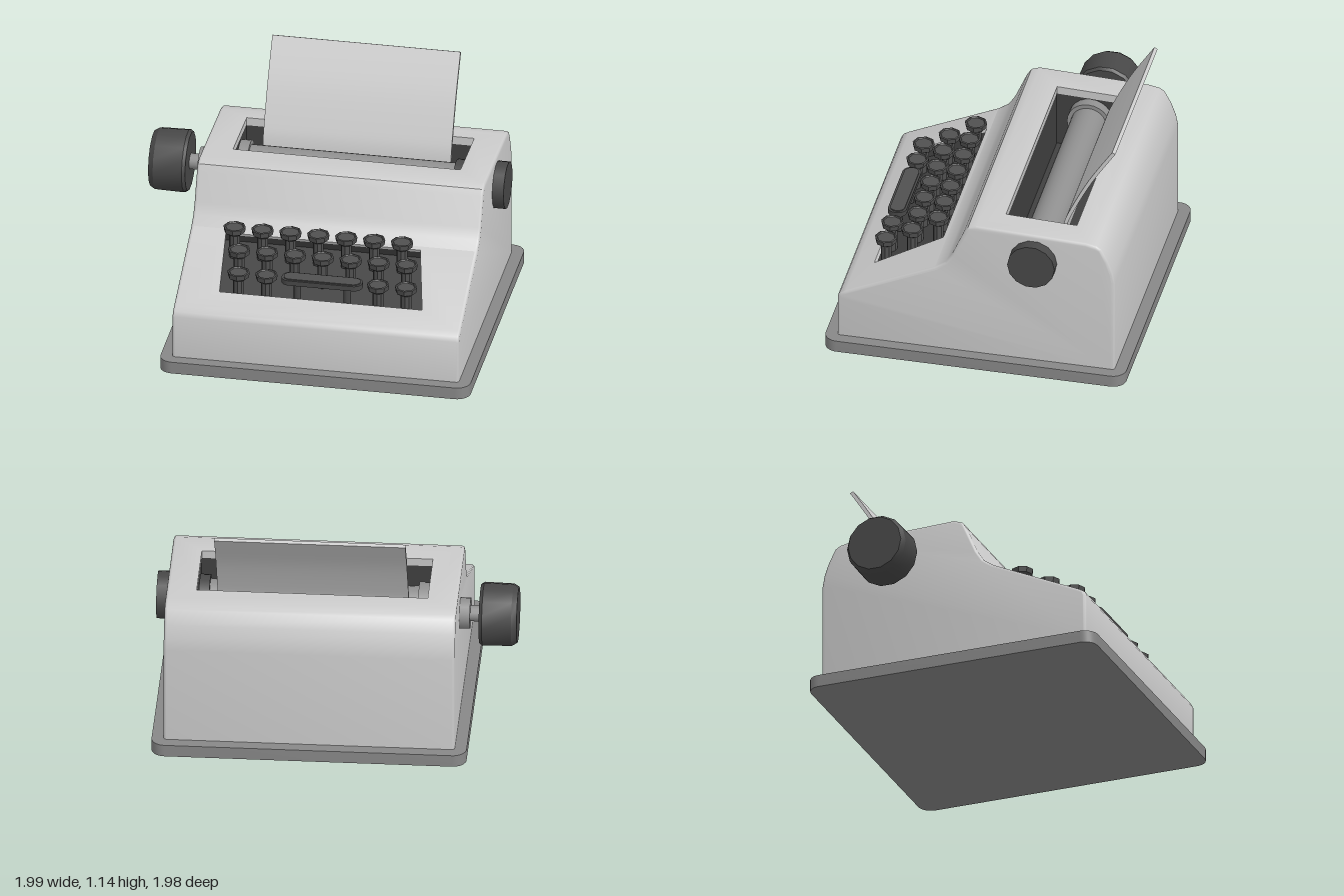
import * as THREE from 'three';
import { mergeGeometries, toCreasedNormals } from 'three/addons/utils/BufferGeometryUtils.js';

const mat = (color, side = THREE.FrontSide) => new THREE.MeshStandardMaterial({ color, side });
const bodyMat = mat(0xcccccc, THREE.DoubleSide), baseMat = mat(0x888888), platenMat = mat(0x909090);
const darkMat = mat(0x484848), keyMat = mat(0x505050, THREE.DoubleSide);
const paperMat = mat(0xe0e0e0), tubMat = mat(0x404040, THREE.DoubleSide);

// Side profile of the casing as [z, y], from the front foot over the top to the back foot
const PROFILE = [
  [0.675, 0.06], [0.675, 0.275], [0.663, 0.298], [0.635, 0.315],
  [0.2, 0.515], [0.15, 0.55], [0.118, 0.6], [0.06, 0.735], [0.04, 0.765], [0, 0.78],
  [-0.535, 0.76], [-0.585, 0.75], [-0.608, 0.735], [-0.642, 0.67], [-0.665, 0.605], [-0.675, 0.55], [-0.675, 0.06],
];
const SLOPE = 3, TOP = 9; // segments that carry openings
const HALF = 0.693, BEVEL = 0.014, IN = HALF - BEVEL;

const slopeY = (z) => 0.315 + (0.635 - z) * (0.2 / 0.435);
const polygon = (pts) => new THREE.Shape(pts.map(([x, y]) => new THREE.Vector2(x, y)));
const plain = (g) => {
  const out = g.index ? g.toNonIndexed() : g;
  out.deleteAttribute('uv');
  return out;
};

function add(parent, name, geometry, material, x = 0, y = 0, z = 0) {
  const mesh = new THREE.Mesh(geometry, material);
  mesh.name = name;
  mesh.position.set(x, y, z);
  parent.add(mesh);
  return mesh;
}

// Turned part, along y, with sharp edges kept
function turned(points, sides, crease) {
  const g = new THREE.LatheGeometry(points.map(([r, y]) => new THREE.Vector2(r, y)), sides);
  return toCreasedNormals(plain(g), crease);
}

// Cylinder along x
function rod(radius, length, sides) {
  return new THREE.CylinderGeometry(radius, radius, length, sides).rotateZ(Math.PI / 2);
}

// Open-topped box, inner size given, rim at y = 0
function tub(w, h, d) {
  const t = 0.02;
  const box = (sx, sy, sz, x, y, z) => new THREE.BoxGeometry(sx, sy, sz).translate(x, y, z);
  const parts = [box(w + 2 * t, t, d + 2 * t, 0, -h - t / 2, 0)];
  for (const s of [-1, 1]) {
    parts.push(box(t, h, d + 2 * t, s * (w + t) / 2, -h / 2, 0), box(w, h, t, 0, -h / 2, s * (d + t) / 2));
  }
  return mergeGeometries(parts);
}

// Profile moved inward for the rounded side edges
function insetProfile(amount) {
  return PROFILE.map(([z, y], i) => {
    if (i === 0) return [z - amount, y];
    if (i === PROFILE.length - 1) return [z + amount, y];
    const a = PROFILE[i - 1], b = PROFILE[i + 1];
    const n1 = new THREE.Vector2(y - a[1], a[0] - z).normalize();
    const n = n1.add(new THREE.Vector2(b[1] - y, z - b[0]).normalize()).normalize();
    return [z - n.x * amount, y - n.y * amount];
  });
}

// Flat panel on one profile segment; the hole is given as [x, z]
function panel(segment, hole, depth) {
  const [a, b] = [PROFILE[segment], PROFILE[segment + 1]];
  const t = new THREE.Vector3(0, b[1] - a[1], b[0] - a[0]);
  const length = t.length();
  t.normalize();
  const shape = polygon([[-IN, 0], [IN, 0], [IN, length], [-IN, length]]);
  shape.holes.push(polygon(hole.map(([x, z]) => [x, (z - a[0]) / t.z])));
  const g = new THREE.ExtrudeGeometry(shape, { depth, bevelEnabled: false }).translate(0, 0, -depth);
  const m = new THREE.Matrix4().makeBasis(new THREE.Vector3(1, 0, 0), t, new THREE.Vector3(0, -t.z, t.y));
  return plain(g.applyMatrix4(m.setPosition(0, a[1], a[0])));
}

function casing(wellHole, slotHole) {
  // Rounded stations across the width, mirrored
  const side = [0, 1, 2, 3].map((k) => {
    const a = (k / 3) * Math.PI / 2;
    return [IN + BEVEL * Math.cos(a), BEVEL * (1 - Math.sin(a))];
  });
  const stations = [...side.map(([x, d]) => [-x, d]), ...[...side].reverse()];
  const rings = stations.map(([x, d]) => insetProfile(d).map(([z, y]) => [x, y, z]));
  const pos = [];
  for (let j = 0; j < rings.length - 1; j++) {
    for (let i = 0; i < PROFILE.length - 1; i++) {
      if (j === 3 && (i === SLOPE || i === TOP)) continue;
      const a = rings[j][i], b = rings[j + 1][i], c = rings[j + 1][i + 1], d = rings[j][i + 1];
      pos.push(...a, ...b, ...c, ...a, ...c, ...d);
    }
  }
  const skin = new THREE.BufferGeometry();
  skin.setAttribute('position', new THREE.Float32BufferAttribute(pos, 3));
  skin.computeVertexNormals();
  // Flat cheeks
  const cheeks = [1, -1].map((s) => plain(
    new THREE.ShapeGeometry(polygon(insetProfile(BEVEL).map(([z, y]) => [-s * z, y])))
      .rotateY(s * Math.PI / 2).translate(s * HALF, 0, 0)));
  const parts = [skin, ...cheeks, panel(SLOPE, wellHole, 0.02), panel(TOP, slotHole, 0.04)];
  return toCreasedNormals(mergeGeometries(parts), 0.6);
}

function roundedSlab(w, d, r, h) {
  const x = w / 2 - r, y = d / 2 - r, s = new THREE.Shape();
  s.absarc(x, y, r, 0, Math.PI / 2);
  s.absarc(-x, y, r, Math.PI / 2, Math.PI);
  s.absarc(-x, -y, r, Math.PI, Math.PI * 1.5);
  s.absarc(x, -y, r, Math.PI * 1.5, Math.PI * 2);
  const g = new THREE.ExtrudeGeometry(s, { depth: h, bevelEnabled: false, curveSegments: 4 });
  return toCreasedNormals(plain(g.rotateX(-Math.PI / 2)), 0.6);
}

function paperSheet() {
  const curve = new THREE.SplineCurve([[0.362, 0.62], [0.375, 0.7], [0.405, 0.78], [0.495, 0.96], [0.61, 1.14]]
    .map(([x, y]) => new THREE.Vector2(x, y)));
  const front = curve.getPoints(16);
  const back = front.map((p) => new THREE.Vector2(p.x + 0.016, p.y - 0.008)).reverse();
  const g = new THREE.ExtrudeGeometry(new THREE.Shape([...front, ...back]), { depth: 0.91, bevelEnabled: false });
  return toCreasedNormals(plain(g.rotateY(Math.PI / 2).translate(-0.455, 0, 0)), 0.6);
}

export function createModel() {
  const root = new THREE.Group();
  root.name = 'typewriter';
  const machine = new THREE.Group();
  machine.name = 'machine';
  machine.rotation.y = THREE.MathUtils.degToRad(-31);
  root.add(machine);

  // Base and casing
  add(machine, 'base', roundedSlab(1.5, 1.465, 0.065, 0.06), baseMat);
  const well = [[-0.49, 0.54], [0.49, 0.54], [0.42, 0.22], [-0.52, 0.22]];
  const slot = [[-0.55, -0.115], [0.55, -0.115], [0.55, -0.46], [-0.55, -0.46]];
  add(machine, 'casing', casing(well, slot), bodyMat);

  // Dark tubs under the two openings; the keyboard one lies parallel to the slope
  const keyTub = add(machine, 'keyboardTub', tub(1.06, 0.06, 0.38), tubMat, 0, slopeY(0.38) - 0.015, 0.375);
  keyTub.rotation.x = Math.atan2(0.2, 0.435);
  add(machine, 'carriageTub', tub(1.104, 0.29, 0.35), tubMat, 0, 0.74, -0.2875);

  // Keys in three staggered rows; the space bar fills the middle of the front row
  const keys = new THREE.Group();
  keys.name = 'keys';
  machine.add(keys);
  const keyGeometry = turned([[0, -0.15], [0.026, -0.15], [0.026, -0.03], [0.036, -0.024], [0.05, -0.014],
    [0.054, 0.012], [0.046, 0.014], [0.042, 0.009], [0, 0.009]], 8, 0.4);
  [[-0.47, 0.262], [-0.426, 0.38], [-0.405, 0.502]].forEach(([x0, z], row) => {
    for (let k = 0; k < 7; k++) {
      if (row === 2 && k > 1 && k < 5) continue;
      add(keys, 'key', keyGeometry, keyMat, x0 + k * 0.135, slopeY(z) + 0.068, z);
    }
  });
  add(keys, 'spaceBar', roundedSlab(0.39, 0.09, 0.04, 0.025), darkMat, 0, slopeY(0.5) + 0.053, 0.503);
  add(keys, 'spaceBarTop', roundedSlab(0.37, 0.07, 0.034, 0.006), keyMat, 0, slopeY(0.5) + 0.077, 0.503);
  for (const s of [-1, 1]) {
    add(keys, 'spaceBarStem', new THREE.CylinderGeometry(0.018, 0.018, 0.13, 8), darkMat, s * 0.12, slopeY(0.5) - 0.005, 0.503);
  }

  // Platen with its end collars, and the sheet of paper behind it
  const py = 0.625, pz = -0.28;
  add(machine, 'platen', rod(0.085, 1.09, 24), platenMat, 0, py, pz);
  add(machine, 'platenCollar', rod(0.105, 0.05, 24), platenMat, -0.522, py, pz);
  add(machine, 'platenCollar', rod(0.105, 0.05, 24), darkMat, 0.522, py, pz);
  add(machine, 'paper', paperSheet(), paperMat);

  // Left-hand disc and right-hand turning knob with shaft
  add(machine, 'sideDisc', rod(0.115, 0.07, 14), darkMat, 0.713, py, pz);
  const ky = 0.592, kz = -0.295;
  add(machine, 'shaftCollar', rod(0.075, 0.06, 14), platenMat, -0.713, ky, kz);
  add(machine, 'knobShaft', rod(0.038, 0.2, 12), platenMat, -0.74, ky, kz);
  const knob = turned([[0, -0.09], [0.143, -0.09], [0.153, -0.075], [0.15, 0.065], [0.135, 0.09], [0, 0.09]], 14, 0.5);
  add(machine, 'knob', knob.rotateZ(Math.PI / 2), darkMat, -0.88, ky, kz);
  return root;
}
